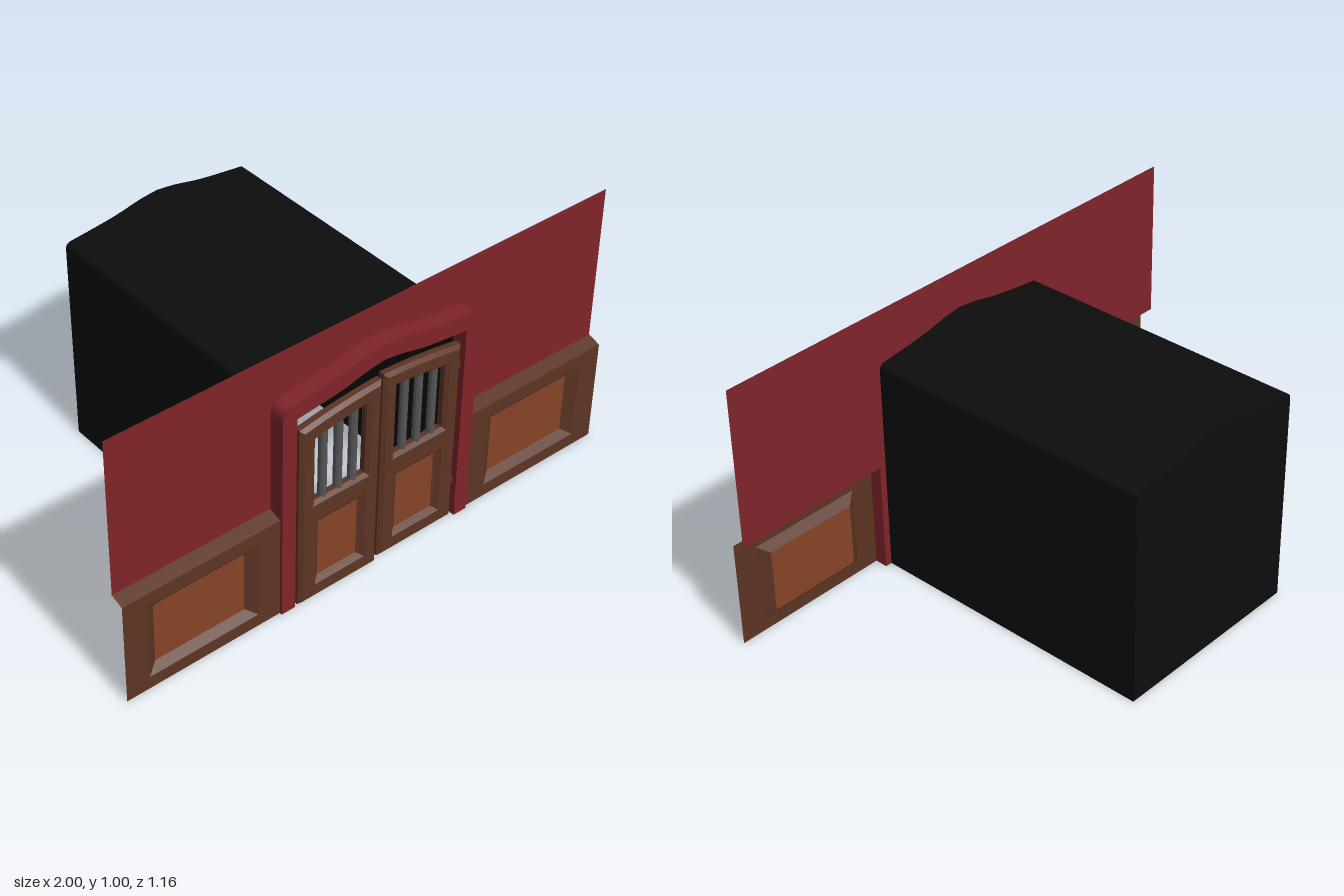
import * as THREE from 'three';

const mat = (color) => new THREE.MeshStandardMaterial({ color, side: THREE.DoubleSide, flatShading: true });
const RED = mat(0x80242a), BROWN = mat(0x5c3424), PANEL = mat(0x854426), BLACK = mat(0x0d0d0d), BAR = mat(0x555555);

function add(parent, name, geometry, material, x = 0, y = 0, z = 0) {
  const mesh = new THREE.Mesh(geometry, material);
  mesh.name = name;
  mesh.position.set(x, y, z);
  parent.add(mesh);
  return mesh;
}

// Skin of quads between successive rows of points
function skin(rows, closed) {
  const pos = [];
  for (let i = 0; i < rows.length - 1; i++) {
    const a = rows[i], b = rows[i + 1], n = a.length;
    for (let j = 0; j < (closed ? n : n - 1); j++) {
      const k = (j + 1) % n;
      for (const p of [a[j], a[k], b[k], a[j], b[k], b[j]]) pos.push(...p);
    }
  }
  const g = new THREE.BufferGeometry();
  g.setAttribute('position', new THREE.Float32BufferAttribute(pos, 3));
  g.computeVertexNormals();
  return g;
}

const rect = (x0, x1, y0, y1, z) => [[x0, y0, z], [x1, y0, z], [x1, y1, z], [x0, y1, z]];
const vecs = (pts) => pts.map(([x, y]) => new THREE.Vector2(x, y));

// Ogee arch from the right foot over the peak to the left foot
function arch(w, corner, peak, r, foot = 0) {
  const rise = peak - corner;
  const bend = new THREE.QuadraticBezierCurve(...vecs([[w, corner - r], [w, corner], [w - r, corner]]));
  const crown = new THREE.SplineCurve(vecs([
    [w - r, corner], [w * 0.5, corner + rise * 0.38], [w * 0.2, corner + rise * 0.82], [0, peak]]));
  const half = [new THREE.Vector2(w, foot), ...bend.getPoints(5), ...crown.getPoints(12).slice(1)];
  const other = half.slice(0, -1).reverse().map((p) => new THREE.Vector2(-p.x, p.y));
  return [...half, ...other];
}

// One swing door on the +x side, its front at z = 0
function makeDoor() {
  const door = new THREE.Group();
  const shape = new THREE.Shape();
  shape.moveTo(0.022, 0.017);
  shape.lineTo(0.322, 0.017);
  shape.lineTo(0.322, 0.71);
  shape.quadraticCurveTo(0.17, 0.738, 0.022, 0.745);
  shape.closePath();
  const opening = new THREE.Path();
  opening.moveTo(0.054, 0.4);
  opening.lineTo(0.054, 0.705);
  opening.quadraticCurveTo(0.17, 0.695, 0.286, 0.672);
  opening.lineTo(0.286, 0.4);
  opening.closePath();
  const lower = new THREE.Path(vecs([[0.066, 0.062], [0.066, 0.335], [0.272, 0.335], [0.272, 0.062]]));
  shape.holes.push(opening, lower);
  const body = new THREE.ExtrudeGeometry(shape, {
    depth: 0.02, bevelThickness: 0.012, bevelSize: 0.013, bevelSegments: 1, curveSegments: 8 });
  add(door, 'doorLeaf', body, BROWN, 0, 0, -0.032);
  // sloped border around the lower panel, on both faces
  for (const [z0, z1] of [[-0.01, -0.018], [-0.034, -0.026]]) {
    add(door, 'doorPanelBorder', skin([
      rect(0.076, 0.262, 0.072, 0.325, z0), rect(0.088, 0.25, 0.08, 0.31, z1)], true), BROWN);
  }
  add(door, 'doorPanel', new THREE.BoxGeometry(0.163, 0.231, 0.008), PANEL, 0.169, 0.195, -0.022);
  for (const x of [0.11, 0.17, 0.232]) {
    add(door, 'doorBar', new THREE.CylinderGeometry(0.015, 0.015, 0.3, 12), BAR, x, 0.55, -0.022);
  }
  return door;
}

// Wainscot on the +x side: sheet with a sunken panel and a sloping cap
function makeWainscot() {
  const g = new THREE.Group();
  const inner = [0.524, 0.872, 0.075, 0.31];
  add(g, 'wainscotBoard', skin([
    rect(0.38, 1, 0, 0.395, 0.56), rect(0.487, 0.912, 0.048, 0.342, 0.56), rect(...inner, 0.535)], true), BROWN);
  add(g, 'wainscotPanel', new THREE.PlaneGeometry(0.348, 0.235), PANEL, 0.698, 0.1925, 0.535);
  add(g, 'wainscotCap', skin([
    [[0.38, 0.395, 0.56], [1, 0.395, 0.56]], [[0.38, 0.41, 0.511], [1, 0.41, 0.511]]]), BROWN);
  return g;
}

export function createModel() {
  const model = new THREE.Group();
  model.name = 'swingDoorEntrance';

  // Upper wall, cut out around the doorway
  const wall = new THREE.Shape([
    ...vecs([[1, 0.41], [1, 1], [-1, 1], [-1, 0.41]]),
    ...arch(0.385, 0.818, 0.872, 0.03, 0.41).reverse()]);
  add(model, 'upperWall', new THREE.ShapeGeometry(wall), RED, 0, 0, 0.511);

  // Door frame
  const frame = new THREE.Shape([...arch(0.4, 0.835, 0.888, 0.05), ...arch(0.345, 0.775, 0.828, 0.004).reverse()]);
  add(model, 'doorFrame', new THREE.ExtrudeGeometry(frame, { depth: 0.058, bevelEnabled: false }), RED, 0, 0, 0.512);

  // Dark passage behind the doors, open underneath
  const tunnel = arch(0.375, 0.803, 0.855, 0.025);
  add(model, 'passageWalls', skin([0.513, -0.58].map((z) => tunnel.map((p) => [p.x, p.y, z]))), BLACK);
  add(model, 'passageBack', new THREE.ShapeGeometry(new THREE.Shape(tunnel)), BLACK, 0, 0, -0.58);

  // Mirrored parts
  for (const s of [1, -1]) {
    const side = s > 0 ? 'left' : 'right';
    const wainscot = makeWainscot();
    wainscot.name = side + 'Wainscot';
    wainscot.scale.x = s;
    const door = makeDoor();
    door.name = side + 'Door';
    door.scale.x = s;
    door.position.z = s > 0 ? 0.568 : 0.58;
    model.add(wainscot, door);
    for (const y of [0.145, 0.632]) {
      add(model, side + 'Hinge', new THREE.CylinderGeometry(0.01, 0.01, 0.022, 10), RED, s * 0.34, y, 0.545);
    }
  }
  return model;
}
